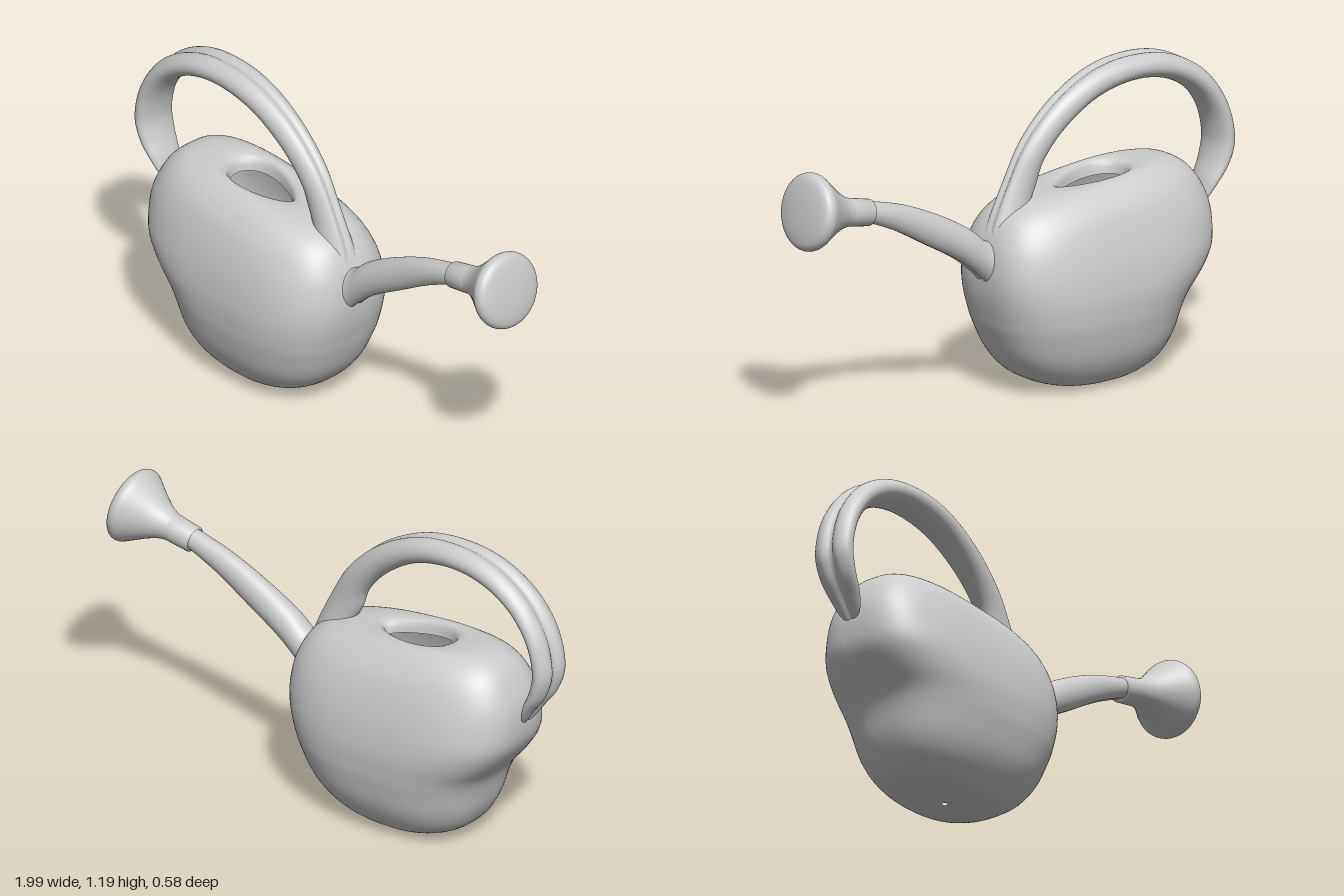
import * as THREE from 'three';

const material = new THREE.MeshStandardMaterial({ color: 0xcccccc, side: THREE.DoubleSide });

// Smoothly interpolates a table of rows, giving `steps` rows per interval
function refine(rows, steps) {
  const out = [];
  const at = (i) => rows[Math.min(Math.max(i, 0), rows.length - 1)];
  for (let i = 0; i < rows.length - 1; i++) {
    for (let s = 0; s < steps; s++) {
      const t = s / steps;
      out.push(at(i).map((p1, k) => {
        const p0 = at(i - 1)[k], p2 = at(i + 1)[k], p3 = at(i + 2)[k];
        return p1 + 0.5 * t * (p2 - p0 + t * (2 * p0 - 5 * p1 + 4 * p2 - p3 + t * (3 * (p1 - p2) + p3 - p0)));
      }));
    }
  }
  out.push(rows[rows.length - 1]);
  return out;
}

// Skins closed rings; ringPoint(row, angle) returns [x, y, z]
function loft(name, rows, sides, ringPoint) {
  const positions = [], index = [];
  rows.forEach((row, r) => {
    for (let j = 0; j < sides; j++) {
      positions.push(...ringPoint(row, (j / sides) * Math.PI * 2));
      if (r === rows.length - 1) continue;
      const a = r * sides + j, b = r * sides + ((j + 1) % sides);
      index.push(a, a + sides, b, b, a + sides, b + sides);
    }
  });
  const geometry = new THREE.BufferGeometry();
  geometry.setAttribute('position', new THREE.Float32BufferAttribute(positions, 3));
  geometry.setIndex(index);
  geometry.computeVertexNormals();
  const mesh = new THREE.Mesh(geometry, material);
  mesh.name = name;
  return mesh;
}

// Tube between two edge lines with a seam groove along the first edge.
// Row: edge x, y, opposite edge x, y, half width, groove depth
function groovedTube(name, rows) {
  return loft(name, refine(rows, 6), 48, ([ox, oy, ix, iy, w, groove], a) => {
    const d = Math.min(a, Math.PI * 2 - a);
    const k = 0.5 * Math.cos(a) * (1 - groove * Math.max(0, 1 - d / 0.5) ** 1.5);
    return [(ox + ix) / 2 + (ox - ix) * k, (oy + iy) / 2 + (oy - iy) * k, w * Math.sin(a)];
  });
}

const signedPow = (v, p) => Math.sign(v) * Math.abs(v) ** p;

function makeBody() {
  // Row: height, back x, front x, half width, squareness, teardrop amount
  const rows = [
    [0.004, -0.34, -0.32, 0.01, 2.2, 0],
    [0.006, -0.43, -0.22, 0.09, 2.3, 0],
    [0.022, -0.53, -0.12, 0.155, 2.4, 0],
    [0.07, -0.62, -0.02, 0.205, 2.5, 0],
    [0.15, -0.67, 0.05, 0.248, 2.6, 0],
    [0.25, -0.70, 0.095, 0.275, 2.7, 0],
    [0.31, -0.728, 0.113, 0.284, 2.8, 0],
    [0.38, -0.785, 0.13, 0.288, 2.9, 0],
    [0.45, -0.828, 0.138, 0.283, 3, 0],
    [0.52, -0.842, 0.135, 0.272, 3, 0],
    [0.61, -0.835, 0.12, 0.25, 3, 0],
    [0.69, -0.80, 0.095, 0.222, 2.9, 0],
    [0.745, -0.755, 0.06, 0.187, 2.8, 0],
    [0.778, -0.70, 0.0, 0.15, 2.6, 0],
    [0.794, -0.62, -0.1, 0.12, 2.3, 0.1],
    [0.787, -0.53, -0.2, 0.09, 2, 0.3],
    [0.74, -0.51, -0.22, 0.08, 2, 0.3],
  ];
  return loft('body', refine(rows, 4), 72, ([y, x0, x1, w, n, drop], a) => {
    const c = signedPow(Math.cos(a), 2 / n), s = signedPow(Math.sin(a), 2 / n);
    const x = (x0 + x1) / 2 + ((x1 - x0) / 2) * c;
    // The top slopes down towards the spout
    const slope = 0.085 * (x + 0.6) * THREE.MathUtils.smoothstep(y, 0.5, 0.78);
    return [x, y - slope, w * s * (1 - drop * c)];
  });
}

function makeHandle() {
  return groovedTube('handle', [
    [0.125, 0.54, -0.03, 0.66, 0.085, 0.1],
    [0.105, 0.645, -0.075, 0.735, 0.06, 0.2],
    [0.03, 0.81, -0.105, 0.79, 0.05, 0.25],
    [-0.06, 0.96, -0.135, 0.87, 0.054, 0.25],
    [-0.2, 1.09, -0.225, 0.97, 0.06, 0.25],
    [-0.37, 1.175, -0.37, 1.06, 0.067, 0.25],
    [-0.54, 1.2, -0.54, 1.095, 0.072, 0.3],
    [-0.71, 1.175, -0.69, 1.075, 0.077, 0.35],
    [-0.86, 1.09, -0.81, 1.01, 0.081, 0.45],
    [-0.96, 0.96, -0.885, 0.915, 0.084, 0.55],
    [-1.0, 0.81, -0.913, 0.81, 0.084, 0.65],
    [-0.973, 0.705, -0.903, 0.73, 0.08, 0.7],
    [-0.915, 0.625, -0.87, 0.65, 0.066, 0.7],
    [-0.867, 0.56, -0.855, 0.59, 0.04, 0.6],
    [-0.862, 0.565, -0.858, 0.57, 0.005, 0],
  ]);
}

function makeSpout() {
  return groovedTube('spout', [
    [0.09, 0.38, 0.03, 0.62, 0.1, 0.05],
    [0.14, 0.455, 0.115, 0.605, 0.066, 0.15],
    [0.25, 0.55, 0.2, 0.67, 0.058, 0.25],
    [0.4, 0.64, 0.33, 0.745, 0.05, 0.25],
    [0.55, 0.728, 0.5, 0.82, 0.042, 0.2],
    [0.69, 0.793, 0.68, 0.87, 0.038, 0.1],
  ]);
}

// Collar and flared sprinkler head, turned about the spout's axis
function makeRose() {
  const group = new THREE.Group();
  group.name = 'rose';
  const parts = {
    collar: [[0.03, 0], [0.05, 0], [0.053, 0.1]],
    sprinklerHead: new THREE.SplineCurve([
      [0.053, 0.1], [0.063, 0.135], [0.087, 0.18], [0.12, 0.23], [0.141, 0.262],
      [0.145, 0.28], [0.138, 0.298], [0.115, 0.311], [0.06, 0.319], [0, 0.321],
    ].map(([r, h]) => new THREE.Vector2(r, h))).getPoints(36).map((p) => [Math.max(p.x, 0), p.y]),
  };
  for (const [name, profile] of Object.entries(parts)) {
    const points = profile.map(([r, h]) => new THREE.Vector2(r, h));
    const mesh = new THREE.Mesh(new THREE.LatheGeometry(points, 48), material);
    mesh.name = name;
    group.add(mesh);
  }
  group.position.set(0.663, 0.822, 0);
  group.rotation.z = -Math.PI / 2 + 0.2;
  return group;
}

export function createModel() {
  const model = new THREE.Group();
  model.name = 'wateringCan';
  model.add(makeBody(), makeHandle(), makeSpout(), makeRose());
  return model;
}
